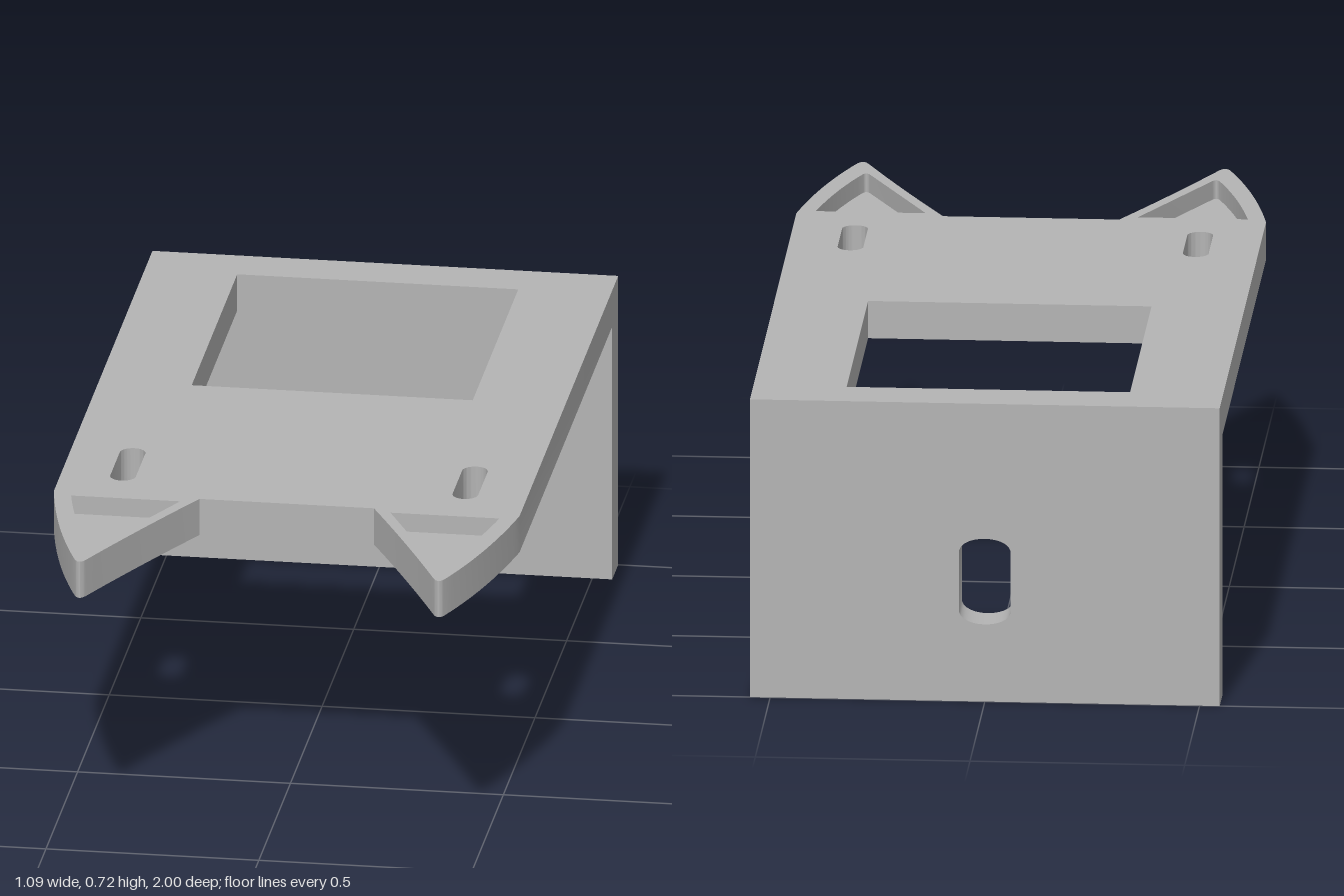
import * as THREE from 'three';
import { toCreasedNormals } from 'three/addons/utils/BufferGeometryUtils.js';

const HALF = 0.547, BOTTOM = 0.63, TOP = 0.72, WALL = 0.095;

function extrude(shape, depth) {
  const geo = new THREE.ExtrudeGeometry(shape, { depth, bevelEnabled: false, curveSegments: 12 });
  return toCreasedNormals(geo, 0.5);
}

// Plan shapes use (x, -z); this lays them flat with their underside at y.
function layFlat(shape, depth, y) {
  return extrude(shape, depth).rotateX(-Math.PI / 2).translate(0, y, 0);
}

// Upright slot with round ends, centred on x, between a and b
function slotPath(x, a, b, r) {
  const p = new THREE.Path();
  p.absarc(x, b - r, r, 0, Math.PI, false);
  p.absarc(x, a + r, r, Math.PI, Math.PI * 2, false);
  p.closePath();
  return p;
}

// Triangular pocket in a prong; side is 1 or -1
function tracePocket(p, side) {
  p.moveTo(side * 0.503, -0.582);
  p.lineTo(side * 0.247, -0.582);
  p.lineTo(side * 0.397, -0.892);
  p.quadraticCurveTo(side * 0.408, -0.916, side * 0.417, -0.892);
  p.quadraticCurveTo(side * 0.47, -0.755, side * 0.503, -0.582);
  return p;
}

export function createModel() {
  const group = new THREE.Group();
  const grey = new THREE.MeshStandardMaterial({ color: 0xb4b4b4 });
  grey.name = 'grey';
  const add = (name, geo) => {
    const mesh = new THREE.Mesh(geo, grey);
    mesh.name = name;
    group.add(mesh);
  };

  // Top plate with two pointed prongs
  const plate = new THREE.Shape();
  plate.moveTo(-HALF, 1);
  plate.lineTo(-HALF, -0.56);
  plate.quadraticCurveTo(-0.508, -0.8, -0.435, -0.985);
  plate.quadraticCurveTo(-0.422, -1.015, -0.408, -0.985);
  plate.quadraticCurveTo(-0.315, -0.775, -0.205, -0.56);
  plate.lineTo(0.205, -0.56);
  plate.quadraticCurveTo(0.315, -0.775, 0.408, -0.985);
  plate.quadraticCurveTo(0.422, -1.015, 0.435, -0.985);
  plate.quadraticCurveTo(0.508, -0.8, HALF, -0.56);
  plate.lineTo(HALF, 1);
  plate.closePath();

  // Rectangular window
  plate.holes.push(new THREE.Path([
    new THREE.Vector2(-0.33, 0.16), new THREE.Vector2(0.33, 0.16),
    new THREE.Vector2(0.33, 0.88), new THREE.Vector2(-0.33, 0.88),
  ]));

  // Slots, pockets and pocket floors on both sides
  for (const side of [-1, 1]) {
    plate.holes.push(slotPath(side * 0.402, -0.47, -0.26, 0.03));
    plate.holes.push(tracePocket(new THREE.Path(), side));
    add(side > 0 ? 'leftPocketFloor' : 'rightPocketFloor',
      layFlat(tracePocket(new THREE.Shape(), side), 0.045, BOTTOM));
  }
  add('topPlate', layFlat(plate, TOP - BOTTOM, BOTTOM));

  // Back wall with a shallow-ended slot
  const wall = new THREE.Shape();
  wall.moveTo(-HALF, 0);
  wall.lineTo(HALF, 0);
  wall.lineTo(HALF, BOTTOM);
  wall.lineTo(-HALF, BOTTOM);
  wall.closePath();
  const slot = new THREE.Path();
  slot.moveTo(0.06, 0.215);
  slot.lineTo(0.06, 0.365);
  slot.bezierCurveTo(0.05, 0.403, -0.05, 0.403, -0.06, 0.365);
  slot.lineTo(-0.06, 0.215);
  slot.bezierCurveTo(-0.05, 0.177, 0.05, 0.177, 0.06, 0.215);
  wall.holes.push(slot);
  add('backWall', extrude(wall, WALL).translate(0, 0, -1));

  return group;
}
